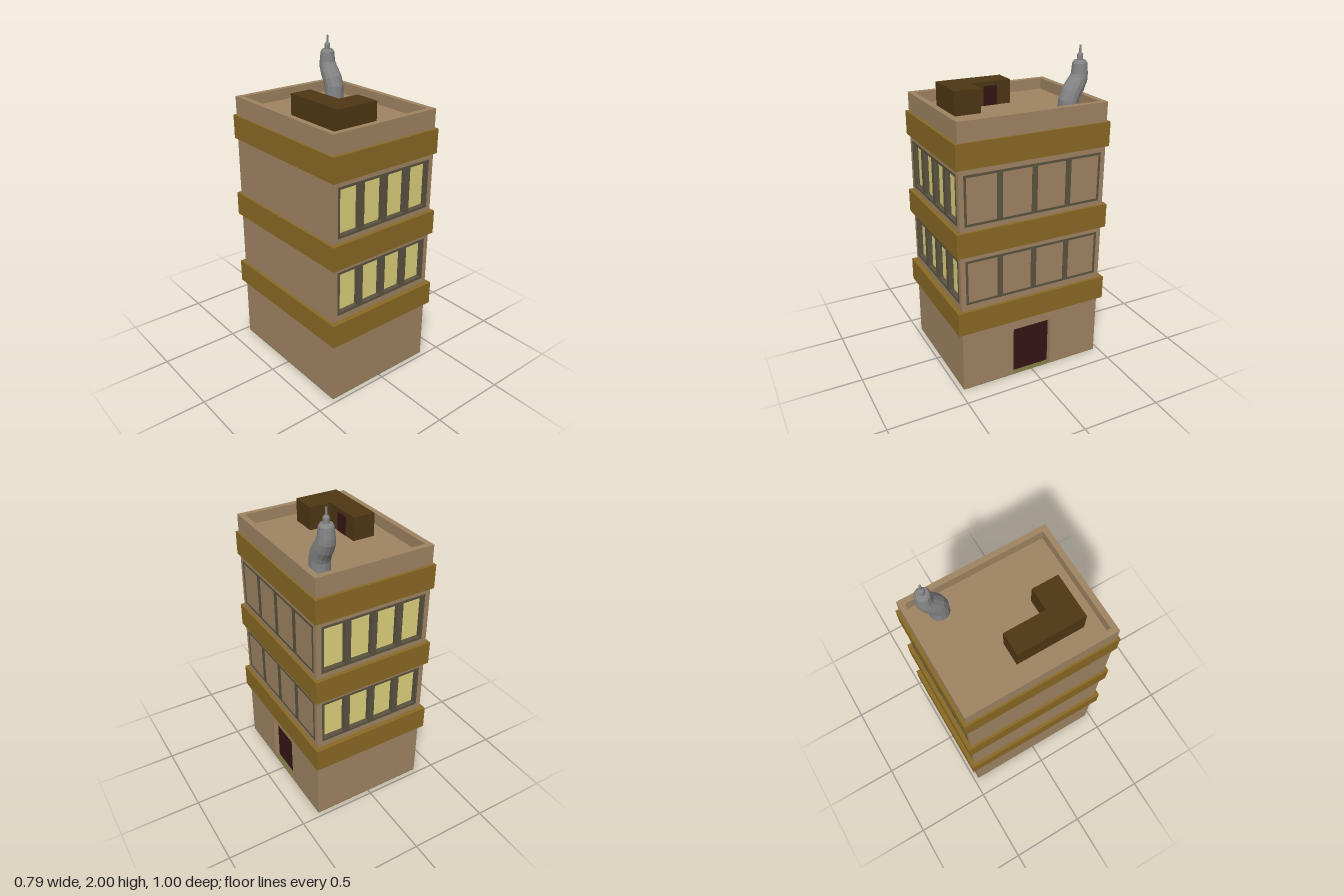
import * as THREE from 'three';

const W = 0.75, D = 0.94, H = 1.69, ROOF = 1.62, T = 0.035, BASE = 0.004;
const mat = (color) => new THREE.MeshStandardMaterial({ color, flatShading: true });
const wallMat = mat(0xa08463), bandMat = mat(0x8a6a24), frameMat = mat(0x5a5340);
const glassMat = mat(0xdfd27d), doorMat = mat(0x371515), shedMat = mat(0x4f3714);
const metalMat = mat(0x858585), baseMat = mat(0x77713f);

function add(parent, name, geometry, material, x = 0, y = 0, z = 0) {
  const mesh = new THREE.Mesh(geometry, material);
  mesh.name = name;
  mesh.position.set(x, y, z);
  parent.add(mesh);
  return mesh;
}

function box(parent, name, material, x0, x1, y0, y1, z0, z1) {
  return add(parent, name, new THREE.BoxGeometry(x1 - x0, y1 - y0, z1 - z0), material,
    (x0 + x1) / 2, (y0 + y1) / 2, (z0 + z1) / 2);
}

const outline = (pts) => pts.map(([x, y]) => new THREE.Vector2(x, y));
const rect = (x0, x1, y0, y1) => outline([[x0, y0], [x1, y0], [x1, y1], [x0, y1]]);

function slab(points, holes, depth) {
  const shape = new THREE.Shape(points);
  shape.holes = holes.map((h) => new THREE.Path(h));
  return new THREE.ExtrudeGeometry(shape, { depth, bevelEnabled: false });
}

// One outer wall, with its inner face at local z = 0
function makeWall(name, width, windowHalf, hasDoor) {
  const g = new THREE.Group();
  g.name = name;
  const h = width / 2;
  const floors = windowHalf ? [[0.59, 0.873], [1.085, 1.39]] : [];
  const dw = 0.13, dh = 0.332;
  const notch = hasDoor ? [[-dw, BASE], [-dw, dh], [dw, dh], [dw, BASE]] : [];
  const points = outline([[-h, BASE], ...notch, [h, BASE], [h, H], [-h, H]]);
  const openings = floors.map(([a, b]) => rect(-windowHalf, windowHalf, a, b));
  add(g, 'wallPanel', slab(points, openings, T), wallMat);
  if (hasDoor) box(g, 'door', doorMat, -dw, dw, BASE, dh, -0.005, 0.003);

  // Window rows: frame with four openings and recessed glass
  const rim = 0.015, bar = 0.037;
  const pane = (2 * (windowHalf - rim) - 3 * bar) / 4;
  for (const [a, b] of floors) {
    const panes = [];
    for (let i = 0; i < 4; i++) {
      const x = -windowHalf + rim + i * (pane + bar);
      panes.push(rect(x, x + pane, a + rim, b - rim));
    }
    add(g, 'windowFrame', slab(rect(-windowHalf, windowHalf, a, b), panes, T + 0.001), frameMat);
    box(g, 'windowGlass', glassMat, -windowHalf + 0.005, windowHalf - 0.005, a + 0.005, b - 0.005, -0.005, 0.005);
  }
  return g;
}

// Bent vent: cross-sections [y, z, radius, tilt] joined into a tube
function ventGeometry() {
  const rings = [
    [ROOF, -0.285, 0.06, 0], [1.69, -0.287, 0.06, 0.15], [1.735, -0.303, 0.06, 0.5],
    [1.775, -0.33, 0.058, 0.55], [1.815, -0.35, 0.053, 0.25], [1.84, -0.354, 0.049, 0],
    [1.9, -0.354, 0.043, 0], [1.914, -0.354, 0.034, 0], [1.916, -0.354, 0.018, 0],
    [1.945, -0.354, 0.018, 0], [1.955, -0.354, 0.013, 0], [1.957, -0.354, 0.007, 0],
    [2.0, -0.354, 0.006, 0],
  ];
  const sides = 14, n = rings.length - 1;
  const geo = new THREE.CylinderGeometry(1, 1, 1, sides, n, true);
  const p = geo.attributes.position;
  for (let i = 0; i < p.count; i++) {
    const [y, z, r, tilt] = rings[n - Math.floor(i / (sides + 1))];
    const u = p.getX(i), v = p.getZ(i);
    p.setXYZ(i, u * r, y + v * r * Math.sin(tilt), z + v * r * Math.cos(tilt));
  }
  geo.computeVertexNormals();
  return geo;
}

export function createModel() {
  const model = new THREE.Group();
  model.name = 'building';
  const cx = W / 2 - T, cz = D / 2 - T;

  // Inner core carries the roof; the walls rise past it as a parapet
  box(model, 'basePlate', baseMat, -W / 2, W / 2, 0, BASE, -D / 2, D / 2);
  box(model, 'coreAndRoof', wallMat, -cx, cx, BASE, ROOF, -cz, cz);

  const walls = [
    ['frontWall', W, 0.342, false, 0, cz],
    ['doorSideWall', 2 * cz, 0.44, true, Math.PI / 2, cx],
    ['backWall', W, 0.342, false, Math.PI, cz],
    ['blankSideWall', 2 * cz, 0, false, -Math.PI / 2, cx],
  ];
  for (const [name, width, windowHalf, door, angle, dist] of walls) {
    const wall = makeWall(name, width, windowHalf, door);
    wall.rotation.y = angle;
    wall.position.set(Math.sin(angle) * dist, 0, Math.cos(angle) * dist);
    model.add(wall);
  }

  // Projecting bands, slightly smaller towards the top
  for (const [y0, y1, x, z] of [[0.403, 0.552, 0.395, 0.5], [0.905, 1.055, 0.391, 0.494], [1.424, 1.573, 0.387, 0.488]]) {
    const ring = slab(rect(-x, x, -z, z), [rect(-cx - 0.01, cx + 0.01, -cz - 0.01, cz + 0.01)], y1 - y0);
    add(model, 'band', ring, bandMat, 0, y0, 0).rotation.x = -Math.PI / 2;
  }

  // L-shaped roof shed with a small door
  const ell = outline([[-0.24, -0.34], [0.04, -0.34], [0.04, -0.175], [-0.1, -0.175], [-0.1, 0.083], [-0.24, 0.083]]);
  add(model, 'roofShed', slab(ell, [], 1.765 - ROOF), shedMat, 0, ROOF, 0).rotation.x = -Math.PI / 2;
  box(model, 'shedDoor', doorMat, -0.105, -0.098, ROOF, 1.738, 0.003, 0.093);

  // Roof vent with a thin mast
  add(model, 'roofVent', ventGeometry(), metalMat, 0.241, 0, 0);
  add(model, 'mastCap', new THREE.CircleGeometry(0.006, 14), metalMat, 0.241, 2, -0.354).rotation.x = -Math.PI / 2;
  return model;
}
